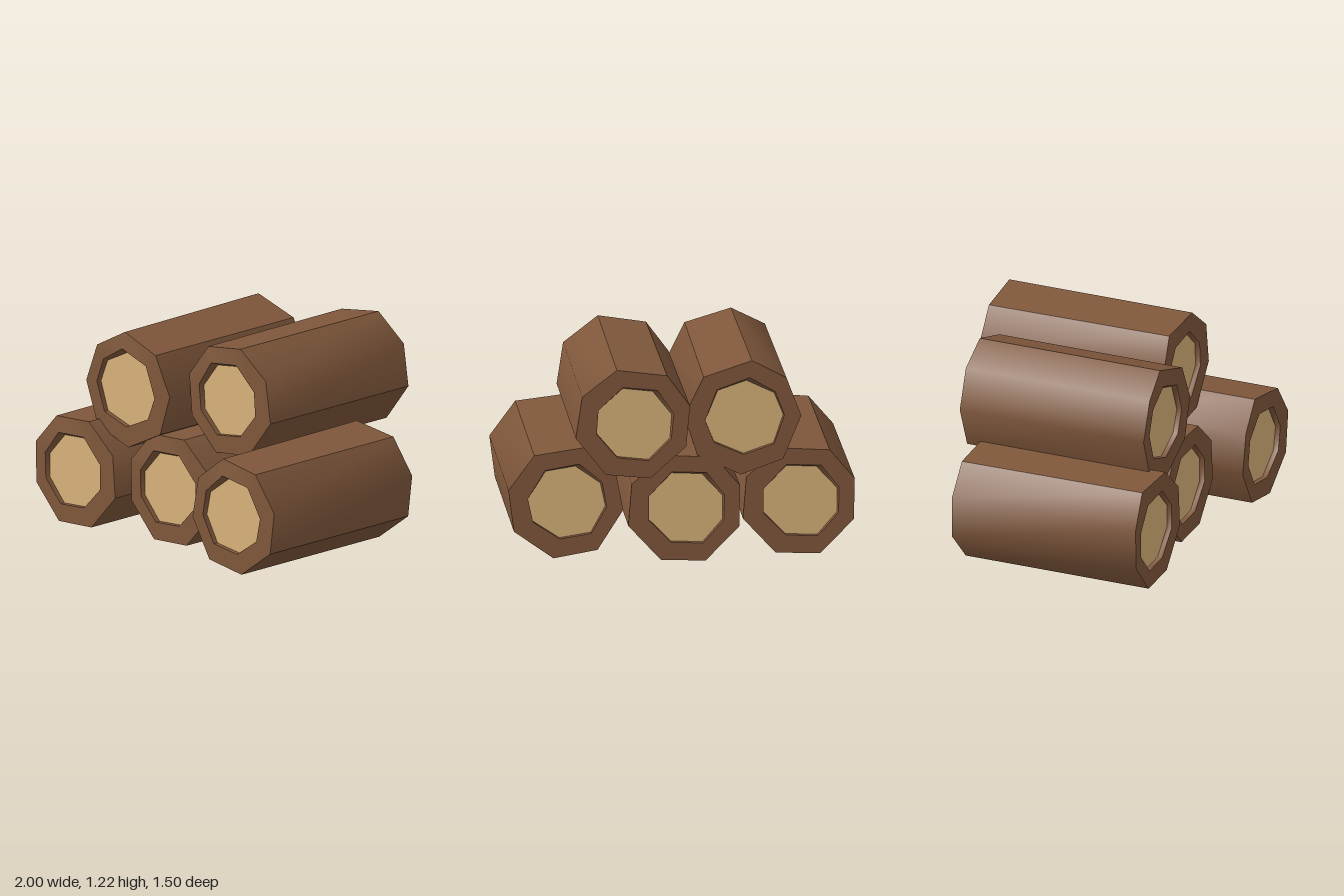
import * as THREE from 'three';
import { toCreasedNormals } from 'three/addons/utils/BufferGeometryUtils.js';

const HALF = 0.578;   // half the log length
const RECESS = 0.03;  // depth of the cut wood inside the bark rim

// Slightly irregular eight-sided cross-sections, clockwise from upper left
const outer = [[-.17, .30], [.11, .32], [.30, .15], [.32, -.10], [.13, -.31], [-.13, -.32], [-.31, -.12], [-.315, .125]];
const outerBack = outer.map(([x, y], i) => (i === 0 || i > 5 ? [x - .015, y] : [x, y]));
const rim = [[-.135, .21], [.067, .218], [.20, .075], [.20, -.07], [.07, -.205], [-.115, -.215], [-.235, -.08], [-.24, .072]];
const core = [[-.11, .195], [.065, .205], [.20, .07], [.20, -.07], [.07, -.205], [-.115, -.215], [-.23, -.08], [-.23, .062]];

const ringAt = (section, z) => section.map(([x, y]) => [x, y, z]);

function toGeometry(triangles) {
  const g = new THREE.BufferGeometry();
  g.setAttribute('position', new THREE.Float32BufferAttribute(triangles.flat(2), 3));
  g.computeVertexNormals();
  return g;
}

// Skin a series of rings, from the back recess over the bark to the front recess
function loft(rings) {
  const tris = [];
  for (let r = 0; r < rings.length - 1; r++) {
    const a = rings[r], b = rings[r + 1];
    for (let i = 0; i < 8; i++) {
      const j = (i + 1) % 8;
      tris.push([a[i], b[i], b[j]], [a[i], b[j], a[j]]);
    }
  }
  return toCreasedNormals(toGeometry(tris), THREE.MathUtils.degToRad(44));
}

// Flat polygon closing a ring
function cap(ring, facesFront) {
  const tris = [];
  for (let i = 1; i < 7; i++) {
    tris.push(facesFront ? [ring[0], ring[i + 1], ring[i]] : [ring[0], ring[i], ring[i + 1]]);
  }
  return toGeometry(tris);
}

export function createModel() {
  const group = new THREE.Group();
  group.name = 'logPile';
  const bark = new THREE.MeshStandardMaterial({ color: 0x7f573b });
  bark.name = 'bark';
  const wood = new THREE.MeshStandardMaterial({ color: 0xd8b279 });
  wood.name = 'cutWood';

  // Front edge has one chipped corner
  const frontOuter = ringAt(outer, HALF);
  frontOuter[0][2] -= 0.022;
  const backCore = ringAt(core, -HALF + RECESS);
  const frontCore = ringAt(core, HALF - RECESS);
  const barkGeometry = loft([
    backCore, ringAt(rim, -HALF), ringAt(outerBack, -HALF),
    frontOuter, ringAt(rim, HALF), frontCore,
  ]);
  const frontCap = cap(frontCore, true);
  const backCap = cap(backCore, false);

  // Name, x, y, z, roll in degrees
  const logs = [
    ['bottomRightLog', -.67, .34, .08, 0],
    ['bottomMiddleLog', .005, .34, -.01, 0],
    ['bottomLeftLog', .68, .336, .167, -12],
    ['topRightLog', -.335, .868, -.01, -22],
    ['topLeftLog', .32, .9, -.177, 4],
  ];
  for (const [name, x, y, z, roll] of logs) {
    const log = new THREE.Group();
    log.name = name;
    const parts = [['bark', barkGeometry, bark], ['frontCut', frontCap, wood], ['backCut', backCap, wood]];
    for (const [part, geometry, material] of parts) {
      const mesh = new THREE.Mesh(geometry, material);
      mesh.name = part;
      log.add(mesh);
    }
    log.position.set(x, y, z);
    log.rotation.z = THREE.MathUtils.degToRad(roll);
    group.add(log);
  }
  return group;
}
